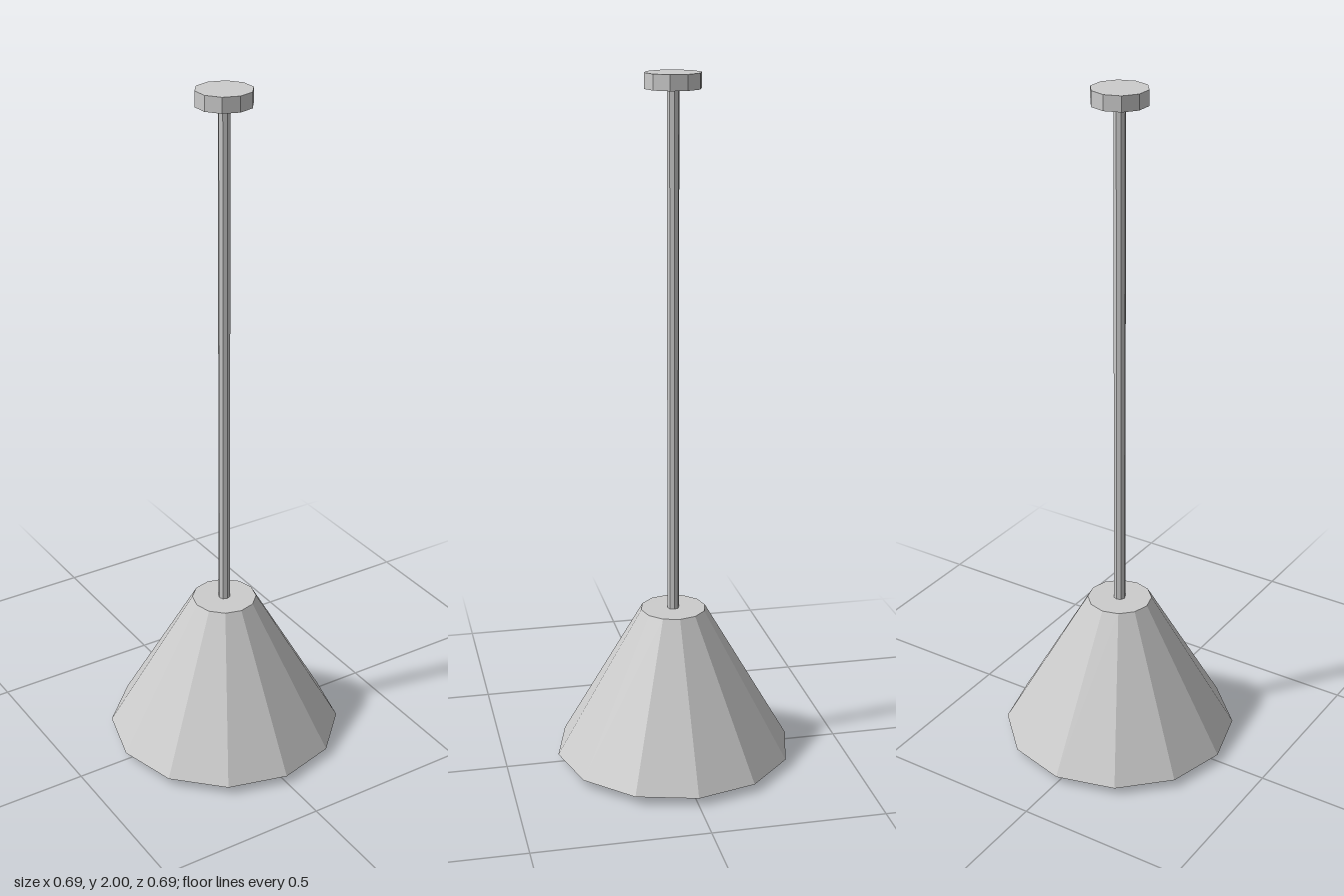
import * as THREE from 'three';

export function createModel() {
  const group = new THREE.Group();
  const material = new THREE.MeshStandardMaterial({ color: 0xcccccc, flatShading: true });

  const add = (name, geometry, y) => {
    const mesh = new THREE.Mesh(geometry, material);
    mesh.name = name;
    mesh.position.y = y;
    group.add(mesh);
  };

  // Capped, faceted tapered column between two heights
  const column = (name, rTop, rBottom, y0, y1, sides) =>
    add(name, new THREE.CylinderGeometry(rTop, rBottom, y1 - y0, sides), (y0 + y1) / 2);

  column('ceilingCanopy', 0.079, 0.079, 1.957, 2, 10);
  column('rod', 0.017, 0.017, 0.44, 1.97, 8);
  column('shade', 0.095, 0.347, 0.023, 0.462, 12);

  // Bulb, its tip showing below the closed shade
  add('bulb', new THREE.SphereGeometry(0.05, 10, 6), 0.05);

  return group;
}
